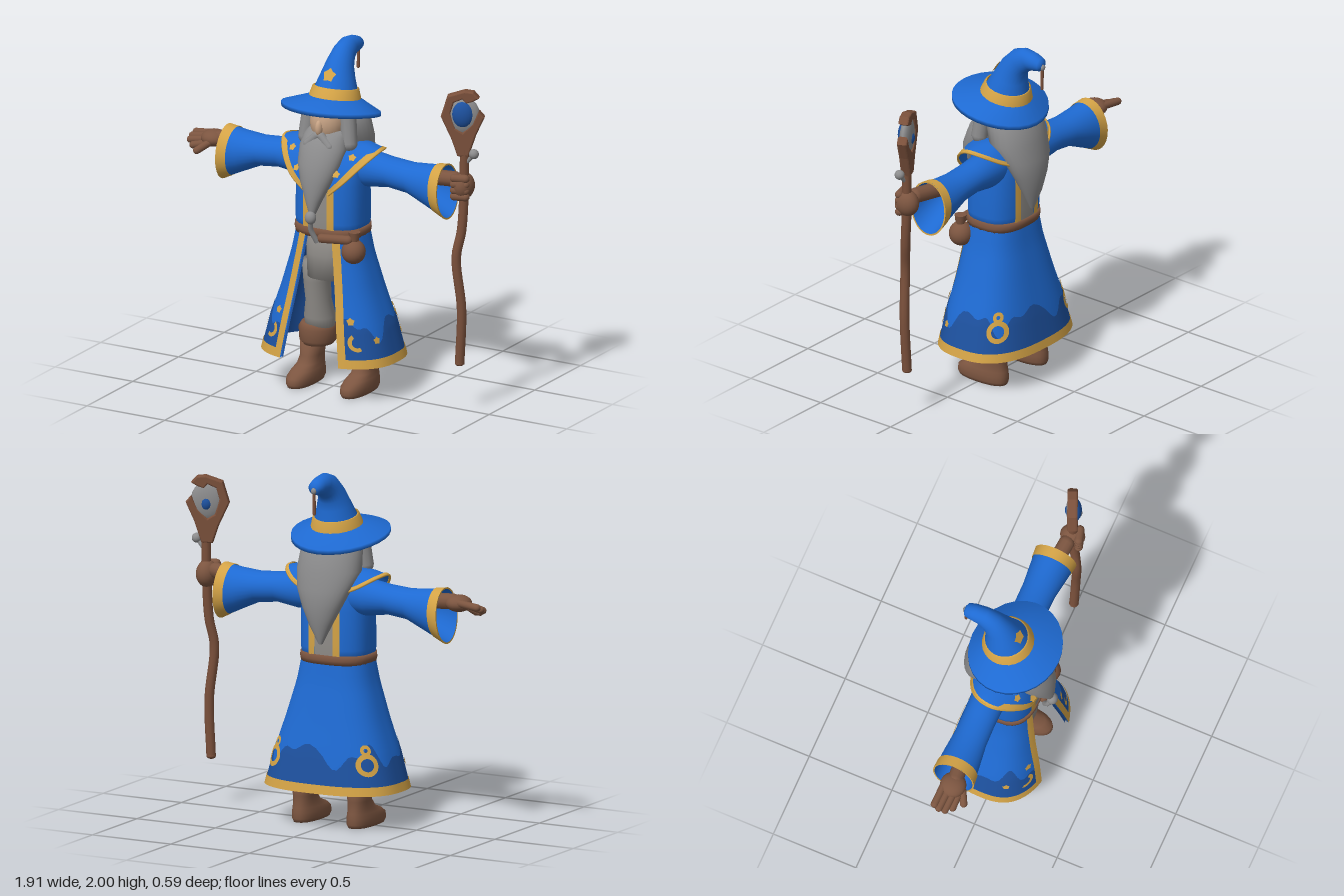
import * as THREE from 'three';

const V = (x, y, z) => new THREE.Vector3(x, y, z);
const mat = (name, color) => {
  const m = new THREE.MeshStandardMaterial({ color, side: THREE.DoubleSide });
  m.name = name;
  return m;
};

export function createModel() {
  const root = new THREE.Group();
  root.name = 'wizard';
  const blue = mat('robe blue', 0x1e6ad2), navy = mat('dark blue', 0x1d519f);
  const gold = mat('gold trim', 0xd4a346), brown = mat('leather brown', 0x7c5540);
  const wood = mat('staff wood', 0x7a503b), grey = mat('hair grey', 0x8c8c8d);
  const cloth = mat('tunic grey', 0x8f8c88), skin = mat('skin', 0xc6a284);

  const add = (name, geo, material, pos = [0, 0, 0]) => {
    const m = new THREE.Mesh(geo, material);
    m.name = name;
    m.position.set(...pos);
    root.add(m);
    return m;
  };
  // Surface through a list of point rows
  const loft = (rows, closed = true, cap = closed) => {
    const n = rows[0].length, idx = [], pts = rows.flat();
    const cols = closed ? n : n - 1;
    for (let i = 0; i < rows.length - 1; i++) for (let j = 0; j < cols; j++) {
      const k = (j + 1) % n, a = i * n + j, b = i * n + k, c = b + n, d = a + n;
      idx.push(a, b, c, a, c, d);
    }
    if (cap) [0, rows.length - 1].forEach((r) => {
      const mid = rows[r].reduce((s, p) => s.add(p), V(0, 0, 0)).divideScalar(n);
      const c = pts.push(mid) - 1;
      for (let j = 0; j < n; j++) {
        const a = r * n + j, b = r * n + (j + 1) % n;
        idx.push(c, ...(r ? [a, b] : [b, a]));
      }
    });
    const g = new THREE.BufferGeometry().setFromPoints(pts);
    g.setIndex(idx);
    g.computeVertexNormals();
    return g;
  };
  const ring = (f, n = 28) => Array.from({ length: n }, (_, j) => f(j / n * Math.PI * 2));
  const spow = (v, e) => Math.sign(v) * Math.abs(v) ** e;
  // Oval cross-section rows: [y, half width, front z, back z], from the bottom up
  const ovals = (rows, e = 1) => loft(rows.map(([y, rx, f, b]) => ring((a) =>
    V(rx * spow(Math.sin(a), e), y, (f + b) / 2 + (f - b) / 2 * spow(Math.cos(a), e)))));
  const ball = (name, m, pos, size) =>
    add(name, new THREE.SphereGeometry(1, 20, 14).scale(...size), m, pos);
  const limb = (name, m, p, q, r) => {
    const a = V(...p), d = V(...q).sub(a);
    const mesh = add(name, new THREE.CapsuleGeometry(r, d.length(), 5, 12), m);
    mesh.position.copy(a).addScaledVector(d, 0.5);
    mesh.quaternion.setFromUnitVectors(V(0, 1, 0), d.normalize());
    return mesh;
  };

  // Squared-oval garment shells addressed by angle and height
  const EXP = 0.77;
  const dims = (table, y) => {
    let i = 0;
    while (i < table.length - 2 && y > table[i + 1][0]) i++;
    const t = (y - table[i][0]) / (table[i + 1][0] - table[i][0]);
    return table[i].map((v, k) => v + (table[i + 1][k] - v) * t);
  };
  const at = (table, a, y, off = 0) => {
    const [, rx, f, b] = dims(table, y);
    return V((rx + off) * spow(Math.sin(a), EXP), y,
      (f + b) / 2 + ((f - b) / 2 + off) * spow(Math.cos(a), EXP));
  };
  const ang = (table, x, y) => Math.asin((x / dims(table, y)[1]) ** (1 / EXP));
  const patch = (table, a0, a1, y0, y1, off, cols = 80, rows = 16) => loft(
    Array.from({ length: rows + 1 }, (_, i) => Array.from({ length: cols + 1 }, (_, j) => {
      const s = j / cols, y = y0 + ((typeof y1 === 'function' ? y1(s) : y1) - y0) * i / rows;
      return at(table, a0(y) + (a1(y) - a0(y)) * s, y, off);
    })), false);

  // Long open skirt of the robe
  const skirt = [[0.21, 0.405, 0.28, -0.29], [0.41, 0.355, 0.25, -0.255], [0.6, 0.29, 0.215, -0.215],
    [0.8, 0.23, 0.185, -0.175], [0.95, 0.2, 0.165, -0.155]];
  const edgeX = (y) => 0.185 - (y - 0.21) * 0.145;
  const edge = (y) => ang(skirt, edgeX(y), y), edgeOut = (y) => ang(skirt, edgeX(y) + 0.043, y);
  const far = (y) => Math.PI * 2 - edge(y);
  add('robeSkirt', patch(skirt, edge, far, 0.21, 0.95, 0), blue);
  add('robeLining', patch(skirt, edge, far, 0.21, 0.95, -0.014), navy);
  add('robeShade', patch(skirt, edge, far, 0.25,
    (s) => 0.42 + 0.05 * Math.sin(s * 31) + 0.03 * Math.sin(s * 67), 0.003), navy);
  add('hemTrim', patch(skirt, edge, far, 0.21, 0.26, 0.007, 80, 2), gold);
  for (const s of [1, -1]) {
    add('skirtFrontTrim', patch(skirt, (y) => s * edge(y), (y) => s * edgeOut(y), 0.21, 0.94, 0.007, 4), gold);
  }

  // Flat ornaments wrapped onto the skirt
  const star = (r) => {
    const g = new THREE.CircleGeometry(r, 10, Math.PI / 2), p = g.attributes.position;
    for (let i = 2; i < p.count; i += 2) p.setXY(i, p.getX(i) * 0.72, p.getY(i) * 0.72);
    return g;
  };
  const wrap = (name, geo, a0, y0, side) => {
    const p = geo.attributes.position;
    const len = at(skirt, a0 + 0.02, y0).distanceTo(at(skirt, a0 - 0.02, y0)) / 0.04;
    for (let i = 0; i < p.count; i++) {
      const q = at(skirt, side * (a0 + p.getX(i) / len), y0 + p.getY(i), 0.008);
      p.setXYZ(i, q.x, q.y, q.z);
    }
    geo.computeVertexNormals();
    add(name, geo, gold);
  };
  for (const s of [1, -1]) {
    wrap('skirtStar', star(0.024), ang(skirt, 0.225, 0.47), 0.47, s);
    wrap('skirtStar', star(0.022), ang(skirt, 0.345, 0.36), 0.36, s);
    wrap('skirtMoon', new THREE.RingGeometry(0.028, 0.05, 18, 1, 2.1, 3.1), ang(skirt, 0.27, 0.35), 0.355, s);
    const back = Math.PI - ang(skirt, 0.29, 0.39);
    wrap('backRing', new THREE.RingGeometry(0.036, 0.063, 24, 1), back, 0.38, s);
    wrap('backRingTop', new THREE.RingGeometry(0.011, 0.03, 16, 1), back, 0.46, s);
  }

  // Upper robe with its front and back strips
  const torso = [[0.93, 0.198, 0.165, -0.155], [1.0, 0.208, 0.172, -0.16], [1.22, 0.205, 0.17, -0.16],
    [1.34, 0.2, 0.145, -0.145], [1.41, 0.17, 0.1, -0.11], [1.44, 0.1, 0.06, -0.08]];
  add('robeTorso', ovals(torso, EXP), blue);
  const strip = (name, m, x0, x1, y1, flip, off) => add(name, patch(torso,
    (y) => flip(ang(torso, Math.abs(x0), y) * Math.sign(x0)),
    (y) => flip(ang(torso, Math.abs(x1), y) * Math.sign(x1)), 0.94, y1, off, 8, 8), m);
  for (const flip of [(a) => a, (a) => Math.PI + a]) {
    strip('tunicFront', cloth, -0.055, 0.055, 1.3, flip, 0.006);
    strip('tunicTrim', gold, 0.055, 0.095, 1.3, flip, 0.008);
    strip('tunicTrim', gold, -0.095, -0.055, 1.3, flip, 0.008);
  }
  add('tunicSkirt', ovals([[0.66, 0.125, 0.15, -0.1], [0.8, 0.13, 0.155, -0.1], [0.95, 0.14, 0.15, -0.1]], EXP), cloth);

  // Pointed mantle over the shoulders
  const curve = (half) => new THREE.CatmullRomCurve3([
    ...half.map((p) => V(...p)), ...half.slice(0, -1).reverse().map(([x, y, z]) => V(-x, y, z))]);
  const inner = curve([[0.03, 1.23, 0.18], [0.09, 1.34, 0.155], [0.12, 1.425, 0.1], [0.13, 1.45, 0],
    [0.12, 1.45, -0.07], [0.09, 1.44, -0.11], [0, 1.43, -0.12]]).getPoints(48);
  const rim = curve([[0.075, 1.18, 0.19], [0.165, 1.26, 0.185], [0.25, 1.355, 0.125], [0.308, 1.425, 0.02],
    [0.285, 1.415, -0.08], [0.19, 1.36, -0.155], [0, 1.3, -0.175]]);
  const outer = rim.getPoints(48);
  const row = (t, lift = 0) => inner.map((p, i) => p.clone()
    .lerp(outer[i], typeof t === 'function' ? t(i) : t).add(V(0, lift, lift / 2)));
  add('mantle', loft([row(1), row(0.5, 0.01), row(0)], false), blue);
  // Trim is wide along the front edges and narrow behind
  add('mantleTrim', loft([row(1, 0.006), row((i) => (i > 10 && i < 38 ? 0.93 : 0.8), 0.01)], false), gold);
  add('mantleEdge', new THREE.TubeGeometry(rim, 60, 0.007, 6), gold);
  for (const s of [1, -1]) for (const [x, y, z] of [[0.19, 1.395, 0.118], [0.125, 1.305, 0.185]]) {
    const n = V(0.2 * s, 0.65, 0.75).normalize();
    const m = add('mantleStar', star(0.024), gold);
    m.position.set(x * s, y, z).addScaledVector(n, 0.01);
    m.quaternion.setFromUnitVectors(V(0, 0, 1), n);
  }

  // Flared sleeves: [x, top y, bottom y, half depth]
  const sleeve = [[0.1, 1.4, 1.2, 0.09], [0.22, 1.405, 1.195, 0.1], [0.35, 1.385, 1.215, 0.095], [0.48, 1.375, 1.2, 0.097],
    [0.6, 1.385, 1.145, 0.11], [0.71, 1.4, 1.09, 0.12]];
  for (const s of [1, -1]) {
    const tube = (rows, off) => loft(rows.map(([x, t, b, d]) => ring((a) => V(
      s * (x - 0.008 * Math.cos(a) * (x > 0.6 ? 1 : 0)), (t + b) / 2 + ((t - b) / 2 + off) * Math.cos(a),
      -0.035 + s * (d + off) * Math.sin(a)))), true, false);
    add('sleeve', tube(sleeve, 0), blue);
    add('sleeveLining', tube(sleeve.slice(3), -0.005), blue);
    add('cuffTrim', tube([dims(sleeve, 0.652), dims(sleeve, 0.712)], 0.004), gold);
    add('cuffEdge', loft([0.004, -0.005].map((o) => ring((a) => V(s * (0.712 - 0.008 * Math.cos(a)),
      1.245 + (0.155 + o) * Math.cos(a), -0.035 + (0.12 + o) * Math.sin(a)))), true, false), gold);
  }

  // Open hand
  limb('forearm', brown, [-0.5, 1.31, -0.03], [-0.74, 1.325, -0.01], 0.044);
  ball('palm', brown, [-0.775, 1.318, -0.01], [0.075, 0.048, 0.074]);
  for (const [y, z, tx, ty, tz] of [[1.33, -0.055, -0.92, 1.315, -0.06], [1.325, -0.02, -0.927, 1.3, -0.03],
    [1.315, 0.012, -0.92, 1.288, 0.004], [1.3, 0.035, -0.885, 1.27, 0.035], [1.3, 0.05, -0.835, 1.258, 0.08]])
    limb('finger', brown, [-0.78, y, z], [tx, ty, tz], 0.021);
  // Hand gripping the staff
  limb('forearm', brown, [0.5, 1.31, -0.03], [0.78, 1.34, 0], 0.044);
  ball('fist', brown, [0.842, 1.315, 0.01], [0.06, 0.077, 0.072]);
  for (let i = 0; i < 4; i++)
    limb('finger', brown, [0.81, 1.262 + i * 0.035, 0.06], [0.872, 1.262 + i * 0.035, 0.042], 0.024);

  // Crooked staff with a hooked head around a gem
  const shaft = new THREE.CatmullRomCurve3([[0.825, 0.275, 0.025], [0.84, 0.6, 0.03], [0.815, 0.9, 0.045],
    [0.838, 1.06, 0.025], [0.845, 1.3, 0.01], [0.848, 1.53, 0.01]].map((p) => V(...p)));
  add('staffShaft', new THREE.TubeGeometry(shaft, 40, 0.027, 10), wood);
  ball('staffFoot', wood, [0.825, 0.28, 0.025], [0.027, 0.018, 0.027]);
  const outline = [[0.025, -0.22], [0.065, -0.1], [0.11, 0], [0.09, 0.025], [0.06, -0.04], [0, -0.1],
    [-0.05, -0.07], [-0.078, 0.02], [-0.058, 0.09], [0, 0.115], [0.02, 0.09], [0.05, 0.1], [0.078, 0.115],
    [0.055, 0.14], [0.01, 0.145], [-0.08, 0.115], [-0.115, 0], [-0.055, -0.13], [-0.025, -0.22]];
  const headGeo = new THREE.ExtrudeGeometry(new THREE.Shape(outline.map((p) => new THREE.Vector2(...p))),
    { depth: 0.03, bevelEnabled: true, bevelSize: 0.009, bevelThickness: 0.014, bevelSegments: 3 }).translate(0, 0, -0.015);
  const turn = (m) => { m.rotation.y = 0.4; };
  turn(add('staffHead', headGeo, wood, [0.84, 1.72, 0.01]));
  turn(ball('gemSetting', grey, [0.842, 1.725, 0.01], [0.092, 0.112, 0.036]));
  turn(ball('gem', navy, [0.843, 1.735, 0.02], [0.064, 0.08, 0.042]));
  turn(ball('gemBack', navy, [0.84, 1.715, 0], [0.036, 0.045, 0.034]));
  limb('staffTwig', grey, [0.85, 1.44, 0.01], [0.9, 1.5, 0.01], 0.012);
  ball('staffBead', grey, [0.908, 1.51, 0.01], [0.028, 0.028, 0.028]);

  // Legs and boots
  for (const s of [1, -1]) {
    add('trouserLeg', ovals([[0.3, 0.08, 0.02, -0.14], [0.38, 0.088, 0.035, -0.145], [0.48, 0.07, 0.04, -0.12],
      [0.6, 0.074, 0.06, -0.11], [0.72, 0.08, 0.07, -0.1]]), cloth, [s * 0.122, 0, 0]);
    add('bootCuff', ovals([[0.215, 0.085, 0.025, -0.165], [0.24, 0.105, 0.04, -0.175], [0.31, 0.108, 0.045, -0.175],
      [0.34, 0.09, 0.03, -0.15]]), brown, [s * 0.14, 0, 0]);
    add('boot', ovals([[0, 0.064, 0.168, -0.15], [0.02, 0.073, 0.177, -0.158], [0.055, 0.073, 0.172, -0.158],
      [0.082, 0.066, 0.13, -0.155], [0.108, 0.059, 0.06, -0.15], [0.15, 0.057, 0.022, -0.15],
      [0.24, 0.066, 0.015, -0.158]], 0.85), brown, [s * 0.174, 0, 0]);
  }

  // Belt and pouch
  add('belt', ovals([[0.916, 0.206, 0.176, -0.163], [0.94, 0.211, 0.181, -0.168], [0.97, 0.208, 0.178, -0.167]], EXP), brown);
  limb('beltTab', brown, [0.03, 0.92, 0.185], [0.19, 0.93, 0.165], 0.026);
  ball('pouch', brown, [0.21, 0.86, 0.14], [0.068, 0.07, 0.068]);
  add('pouchNeck', new THREE.CylinderGeometry(0.034, 0.022, 0.06, 12), brown, [0.215, 0.945, 0.14]);

  // Head, hair and beard
  ball('face', skin, [0, 1.57, 0.06], [0.1, 0.13, 0.108]);
  ball('nose', skin, [0, 1.553, 0.162], [0.022, 0.045, 0.026]);
  add('hair', ovals([[1.04, 0.012, -0.185, -0.21], [1.15, 0.07, -0.15, -0.245], [1.25, 0.12, -0.11, -0.26],
    [1.35, 0.165, -0.06, -0.258], [1.45, 0.193, 0.04, -0.235], [1.55, 0.182, 0.07, -0.215], [1.64, 0.15, 0.07, -0.16]]), grey);
  add('beard', ovals([[1.06, 0.014, 0.255, 0.22], [1.15, 0.05, 0.265, 0.17], [1.25, 0.095, 0.265, 0.12],
    [1.35, 0.13, 0.25, 0.06], [1.44, 0.142, 0.215, 0], [1.5, 0.125, 0.178, 0], [1.53, 0.105, 0.14, 0]]), grey);
  for (const s of [1, -1]) {
    limb('moustache', grey, [s * 0.014, 1.508, 0.16], [s * 0.07, 1.455, 0.168], 0.024);
    limb('sideLock', grey, [s * 0.122, 1.61, 0.05], [s * 0.138, 1.46, 0.065], 0.046);
  }
  ball('beardKnot', grey, [0, 1.055, 0.255], [0.033, 0.038, 0.03]);
  add('beardStrand', new THREE.TubeGeometry(new THREE.CatmullRomCurve3(
    [V(0, 1.05, 0.25), V(-0.012, 0.98, 0.232), V(0.01, 0.9, 0.2)]), 12, 0.015, 8), grey);

  // Hat: cross-sections as [front z, front y, back z, back y, half width]
  const slice = ([fz, fy, bz, by, w]) => ring((a) => V(w * Math.sin(a),
    (fy + by) / 2 + (fy - by) / 2 * Math.cos(a), (fz + bz) / 2 + (fz - bz) / 2 * Math.cos(a)));
  add('hatCrown', loft([[0.13, 1.68, -0.15, 1.63, 0.14], [0.1, 1.745, -0.145, 1.7, 0.125], [0.05, 1.825, -0.14, 1.78, 0.098],
    [0, 1.905, -0.143, 1.825, 0.078], [-0.07, 1.975, -0.163, 1.86, 0.062], [-0.14, 2, -0.2, 1.885, 0.053],
    [-0.215, 1.99, -0.235, 1.89, 0.048], [-0.262, 1.972, -0.262, 1.897, 0.04], [-0.274, 1.95, -0.274, 1.915, 0.02]].map(slice)), blue);
  add('hatBand', loft([[0.135, 1.708, -0.16, 1.66, 0.148], [0.104, 1.766, -0.153, 1.72, 0.13],
    [0.094, 1.768, -0.144, 1.722, 0.12]].map(slice), true, false), gold);
  const brimRim = (drop) => ring((a) => V(0.283 * Math.sin(a),
    1.648 + 0.055 * Math.cos(a) - 0.015 * Math.cos(a) ** 2 - drop, 0.03 + 0.26 * Math.cos(a)));
  add('hatBrim', loft([slice([0.13, 1.635, -0.13, 1.59, 0.125]), brimRim(0.025), brimRim(0),
    slice([0.13, 1.715, -0.15, 1.67, 0.14])], true, false), blue);
  const hatStar = star(0.042), hp = hatStar.attributes.position;
  for (let i = 0; i < hp.count; i++) hp.setZ(i, -(hp.getX(i) ** 2) * 5.5);
  add('hatStar', hatStar, gold, [0, 1.832, 0.055]).rotation.x = -0.56;
  limb('hatTassel', wood, [0, 1.93, -0.272], [0, 1.79, -0.268], 0.009);
  ball('tasselBead', grey, [0, 1.92, -0.275], [0.016, 0.018, 0.012]);

  return root;
}
